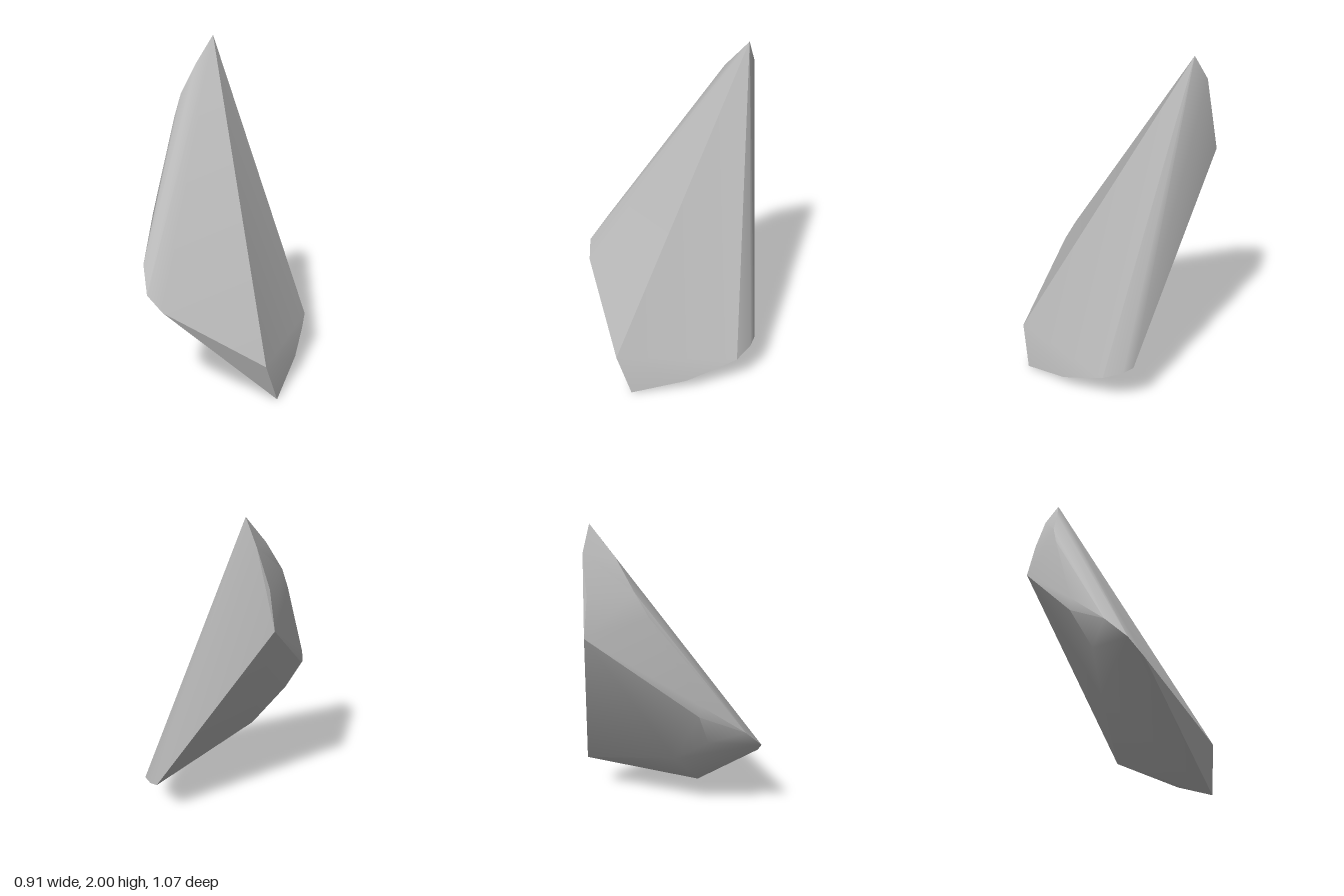
import * as THREE from 'three';
import { ConvexGeometry } from 'three/addons/geometries/ConvexGeometry.js';
import { toCreasedNormals } from 'three/addons/utils/BufferGeometryUtils.js';

export function createModel() {
  const group = new THREE.Group();
  group.name = 'stoneShard';

  const stoneGrey = new THREE.MeshStandardMaterial({ color: 0xbababa });
  stoneGrey.name = 'stoneGrey';

  // Corners of the shard, grouped by rim
  const tip = [[-0.275, 2, -0.405], [-0.35, 1.87, -0.437]];
  const backRidge = [[-0.415, 1.66, -0.42], [-0.456, 1.45, -0.44]];
  const upperRim = [[-0.325, 1.84, -0.275], [-0.378, 1.67, -0.18], [-0.385, 1.54, -0.11]];
  const frontRim = [[-0.38, 1.02, 0.167], [-0.29, 0.8, 0.43], [-0.205, 0.67, 0.535], [-0.11, 0.58, 0.528]];
  const underside = [[-0.38, 0.95, 0.16], [-0.265, 0.72, 0.22], [-0.13, 0.53, 0.03]];
  const foot = [[0.417, 0.25, 0.285], [0.452, 0, 0.195]];
  const backRim = [[0.428, 0.11, -0.14], [0.393, 0.21, -0.34], [0.37, 0.26, -0.438],
    [0.285, 0.3, -0.515], [0.226, 0.32, -0.537]];

  // Faceted body with softened shallow edges
  const corners = [tip, backRidge, upperRim, frontRim, underside, foot, backRim]
    .flat().map((p) => new THREE.Vector3(...p));
  const body = new THREE.Mesh(toCreasedNormals(new ConvexGeometry(corners), 0.55), stoneGrey);
  body.name = 'shardBody';
  group.add(body);
  return group;
}
